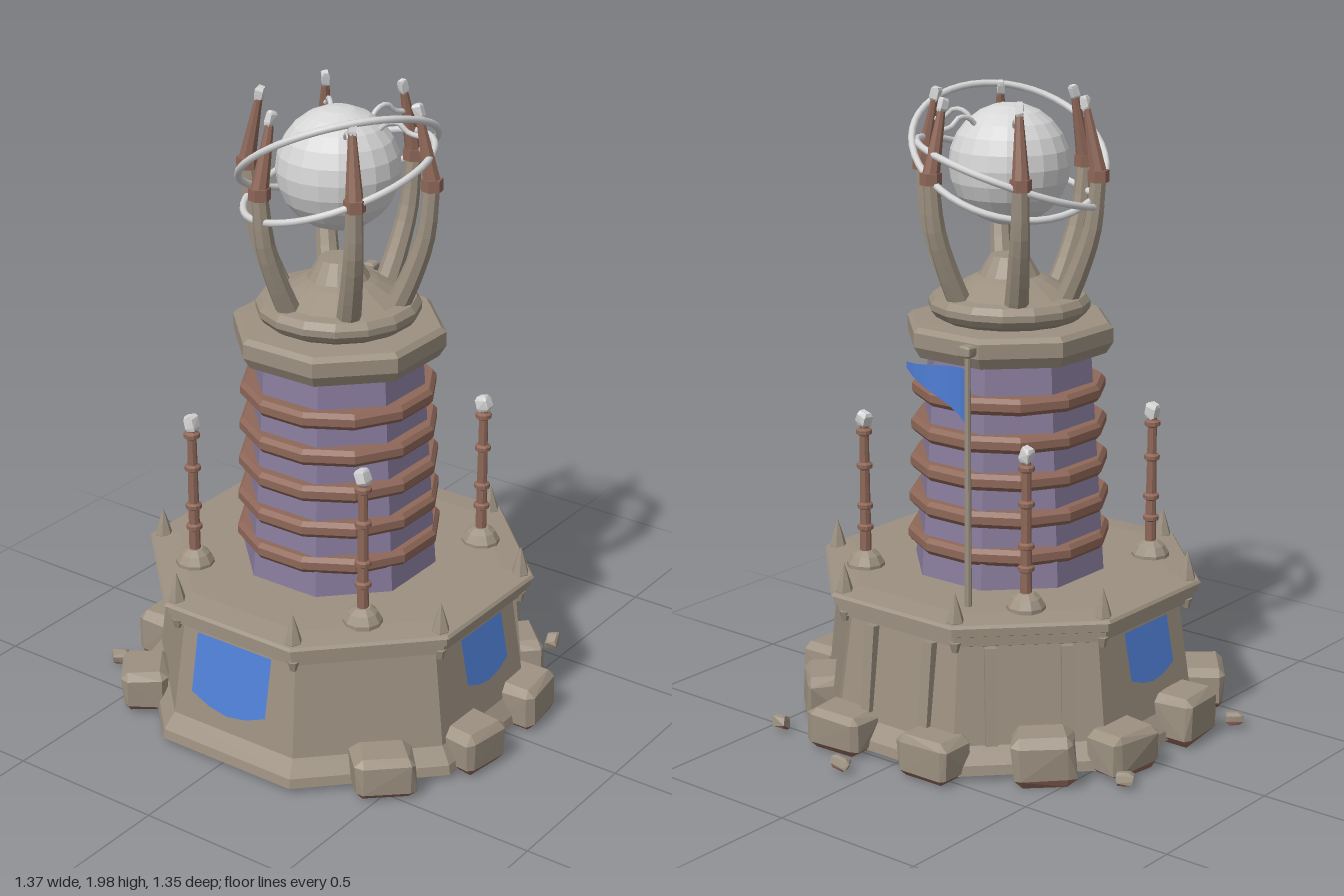
import * as THREE from 'three';
import { ConvexGeometry } from 'three/addons/geometries/ConvexGeometry.js';

const paint = (name, color, side = THREE.FrontSide) => {
  const m = new THREE.MeshStandardMaterial({ color, side });
  m.name = name;
  return m;
};

export function createModel() {
  const stone = paint('stone', 0x9c9080, THREE.DoubleSide);
  const copper = paint('copper', 0x8f6859);
  const purple = paint('purpleWall', 0x8a7d9e);
  const blue = paint('blueCloth', 0x4f7fd6, THREE.DoubleSide);
  const silver = paint('silver', 0xd6d6d6);

  let seed = 7;
  const rand = () => (seed = (seed * 16807) % 2147483647) / 2147483647;
  const V = (x, y, z) => new THREE.Vector3(x, y, z);
  const root = new THREE.Group();
  const tower = new THREE.Group();
  tower.name = 'tower';
  tower.position.set(0.025, 0, 0.08);
  root.add(tower);

  // faceted normals for low-poly parts
  const flat = (g) => {
    const f = g.index ? g.toNonIndexed() : g;
    f.computeVertexNormals();
    return f;
  };
  const add = (parent, name, geo, mat, x = 0, y = 0, z = 0) => {
    const m = new THREE.Mesh(geo, mat);
    m.name = name;
    m.position.set(x, y, z);
    parent.add(m);
    return m;
  };
  // turned part; an eight-sided one takes face distances instead of radii
  const turned = (pts, sides = 8) => {
    const k = sides === 8 ? 1 / Math.cos(Math.PI / 8) : 1;
    return flat(new THREE.LatheGeometry(pts.map(([r, y]) => new THREE.Vector2(r * k, y)), sides, Math.PI / sides));
  };
  const rod = (parent, name, a, b, r0, r1, mat, sides = 8) => {
    const m = add(parent, name, flat(new THREE.CylinderGeometry(r1, r0, a.distanceTo(b), sides)), mat);
    m.position.copy(a).lerp(b, 0.5);
    m.quaternion.setFromUnitVectors(V(0, 1, 0), b.clone().sub(a).normalize());
    return m;
  };
  // rough block with cut corners
  const block = (w, h, d, rough = 0.12) => {
    const pts = [];
    for (const sx of [-1, 1]) for (const sy of [-1, 1]) for (const sz of [-1, 1]) {
      const j = () => 1 - rand() * rough, cut = 0.72;
      pts.push(V(sx * w / 2 * cut * j(), sy * h / 2, sz * d / 2 * cut * j()));
      pts.push(V(sx * w / 2 * j(), sy * h / 2 * cut * j(), sz * d / 2 * cut));
      pts.push(V(sx * w / 2 * cut, sy * h / 2 * cut * j(), sz * d / 2 * j()));
    }
    return new ConvexGeometry(pts);
  };
  // second material on downward faces
  const splitUnderside = (g) => {
    const n = g.attributes.normal;
    for (let i = 0; i < n.count; i += 3) g.addGroup(i, 3, n.getY(i) < -0.4 ? 1 : 0);
    return g;
  };

  // hollow base, cornice and deck
  add(tower, 'baseWall', turned([[0.59, 0.03], [0.585, 0.06], [0.55, 0.11], [0.51, 0.41]]), stone);
  add(tower, 'corniceAndDeck', turned([[0.51, 0.41], [0.535, 0.42], [0.535, 0.437], [0.55, 0.44], [0.55, 0.455],
    [0.562, 0.46], [0.562, 0.485], [0.572, 0.488], [0.565, 0.497], [0.48, 0.505], [0, 0.505]]), stone);

  // ribs on the three back faces
  for (const a of [135, 180, 225]) {
    const face = new THREE.Group();
    face.name = 'ribbedFace';
    face.rotation.y = THREE.MathUtils.degToRad(a);
    tower.add(face);
    for (const s of [-1, 1])
      add(face, 'rib', new THREE.BoxGeometry(0.036, 0.3, 0.03), stone, s * 0.115, 0.26, 0.537).rotation.x = -0.1;
  }

  // hanging banners
  for (const [a, w, h] of [[0, 0.28, 0.23], [90, 0.22, 0.18], [-90, 0.22, 0.18]]) {
    const holder = new THREE.Group();
    holder.name = 'bannerHolder';
    holder.rotation.y = THREE.MathUtils.degToRad(a);
    tower.add(holder);
    const s = new THREE.Shape([[-w / 2, 0], [-w / 2, -h * 0.83], [-w / 4, -h * 0.95], [0, -h],
      [w / 4, -h * 0.95], [w / 2, -h * 0.83], [w / 2, 0]].map((p) => new THREE.Vector2(...p)));
    add(holder, 'banner', new THREE.ShapeGeometry(s), blue, 0, 0.412, 0.533).rotation.x = -0.19;
  }

  // spikes and corbels on the eight corners
  for (let i = 0; i < 8; i++) {
    const a = (i + 0.5) * Math.PI / 4, x = Math.sin(a), z = Math.cos(a);
    add(tower, 'cornerSpike', turned([[0.022, 0.47], [0.028, 0.5], [0.018, 0.535], [0, 0.59]], 6), stone, x * 0.575, 0, z * 0.575);
    add(tower, 'corbel', flat(new THREE.CylinderGeometry(0.018, 0.01, 0.03, 6)), stone, x * 0.575, 0.418, z * 0.575);
  }

  // four copper pylons
  for (const sx of [-1, 1]) for (const sz of [-1, 1]) {
    const p = new THREE.Group();
    p.name = 'pylon';
    p.position.set(sx * 0.32, 0, sz * 0.32);
    tower.add(p);
    add(p, 'pylonFoot', turned([[0.06, 0.5], [0.06, 0.515], [0.045, 0.54], [0.025, 0.555], [0, 0.555]], 10), stone);
    rod(p, 'pylonRod', V(0, 0.55, 0), V(0, 0.96, 0), 0.018, 0.014, copper);
    for (const y of [0.63, 0.7, 0.83, 0.94])
      add(p, 'pylonCollar', turned([[0.015, -0.012], [0.025, -0.006], [0.025, 0.006], [0.015, 0.012]], 10), copper, 0, y, 0);
    add(p, 'pylonCrystal', block(0.045, 0.05, 0.04, 0.4), silver, 0, 0.98, 0).rotation.z = 0.3;
  }

  // shaft with copper hoops
  add(tower, 'shaft', turned([[0.285, 0.5], [0.24, 1.22]]), purple);
  for (let i = 0; i < 5; i++) {
    const r = 0.318 - i * 0.004;
    add(tower, 'hoop', turned([[0.24, -0.026], [r - 0.012, -0.026], [r, -0.012], [r, 0.012], [r - 0.012, 0.026], [0.24, 0.026]], 12),
      copper, 0, 0.61 + i * 0.1175, 0);
  }

  // crown slab, round rim and pedestal
  add(tower, 'crownSlab', turned([[0.2, 1.2], [0.285, 1.2], [0.305, 1.235], [0.305, 1.28], [0.29, 1.295], [0, 1.3]]), stone);
  add(tower, 'crownRim', turned([[0.21, 1.295], [0.235, 1.31], [0.25, 1.33], [0.25, 1.35], [0.235, 1.37], [0.2, 1.375],
    [0.12, 1.42], [0.095, 1.43], [0.06, 1.49], [0, 1.49]], 16), stone);

  // orb
  add(tower, 'orb', flat(new THREE.SphereGeometry(0.186, 20, 12)), silver, 0, 1.77, 0);

  // six curved arms holding the orb
  for (let i = 0; i < 6; i++) {
    const arm = new THREE.Group();
    arm.name = 'arm';
    arm.rotation.y = -THREE.MathUtils.degToRad(-15 + 60 * i);
    tower.add(arm);
    const path = new THREE.CatmullRomCurve3([V(0.18, 1.35, 0), V(0.225, 1.45, 0), V(0.272, 1.59, 0), V(0.29, 1.75, 0)]);
    const g = new THREE.TubeGeometry(path, 8, 0.038, 8);
    const pos = g.attributes.position, v = V(0, 0, 0);
    for (let k = 0; k < pos.count; k++) {
      const t = Math.floor(k / 9) / 8, c = path.getPointAt(t);
      v.fromBufferAttribute(pos, k).sub(c).multiplyScalar(1 - 0.35 * t).add(c);
      pos.setXYZ(k, v.x, v.y, v.z);
    }
    add(arm, 'armLimb', flat(g), stone);
    add(arm, 'armJoint', flat(new THREE.CylinderGeometry(0.033, 0.033, 0.036, 6)), copper, 0.29, 1.752, 0);
    rod(arm, 'armSpike', V(0.29, 1.76, 0), V(0.25, 1.95, 0), 0.027, 0.012, copper);
    add(arm, 'armCrystal', block(0.032, 0.045, 0.028, 0.4), silver, 0.246, 1.967, 0).rotation.z = 0.3;
    // bent rod touching the orb
    if (i !== 2 && i !== 3) {
      const hook = new THREE.CatmullRomCurve3([V(0.262, 1.89, 0), V(0.215, 1.9, 0), V(0.185, 1.925, 0), V(0.15, 1.92, 0), V(0.12, 1.89, 0)]);
      add(arm, 'orbHook', new THREE.TubeGeometry(hook, 10, 0.008, 6), silver);
    }
  }

  // tilted rings around the orb: height, radius, uphill direction, tilt
  for (const [y, r, dir, tilt] of [[1.81, 0.3, 32, 35], [1.745, 0.297, -40, 19]]) {
    const pivot = new THREE.Group();
    pivot.name = 'ringPivot';
    pivot.position.y = y;
    pivot.rotation.set(0, -THREE.MathUtils.degToRad(dir), THREE.MathUtils.degToRad(tilt));
    tower.add(pivot);
    add(pivot, 'orbitRing', new THREE.TorusGeometry(r, 0.011, 8, 48).rotateX(Math.PI / 2), silver);
  }

  // flag at the back
  rod(root, 'flagPole', V(-0.15, 0.5, -0.335), V(-0.15, 1.28, -0.335), 0.011, 0.009, stone);
  add(root, 'flagFinial', block(0.045, 0.035, 0.045, 0.3), stone, -0.15, 1.29, -0.335);
  const cloth = new THREE.PlaneGeometry(1, 1, 6, 1), cp = cloth.attributes.position;
  for (let k = 0; k < cp.count; k++) {
    const t = cp.getX(k) + 0.5, top = cp.getY(k) > 0;
    const wave = 0.015 * Math.sin(t * 6);
    cp.setXYZ(k, -0.15 + 0.31 * t, top ? 1.235 - 0.04 * t : 1.06 + 0.115 * t, -0.335 + 0.09 * t + wave);
  }
  add(root, 'flag', flat(cloth), blue);

  // boulders around the foot: x, z, length
  const boulders = [[-0.15, -0.5, 0.21], [0.2, -0.51, 0.21], [0.44, -0.33, 0.2], [0.6, -0.12, 0.2], [0.61, 0.2, 0.19],
    [0.48, 0.48, 0.2], [-0.43, 0.5, 0.21], [-0.565, 0.21, 0.2], [-0.565, -0.11, 0.21], [-0.43, -0.33, 0.2]];
  for (const [x, z, len] of boulders) {
    const h = 0.13 + rand() * 0.03;
    const b = add(root, 'boulder', splitUnderside(block(len, h, 0.15, 0.15)), [stone, copper], x, 0.015 + h / 2, z);
    const a = Math.round(Math.atan2(x - 0.025, z - 0.08) / (Math.PI / 4)) * Math.PI / 4;
    b.rotation.set(0, a + (rand() - 0.5) * 0.25, (rand() - 0.5) * 0.12);
  }

  // loose chips
  for (const [x, z] of [[0.09, -0.65], [0.45, -0.53], [-0.645, -0.21], [-0.64, 0.38]])
    add(root, 'stoneChip', splitUnderside(block(0.065, 0.04, 0.05, 0.5)), [stone, copper], x, 0.04, z).rotation.set(0.3, x * 4, 0.2);

  return root;
}
